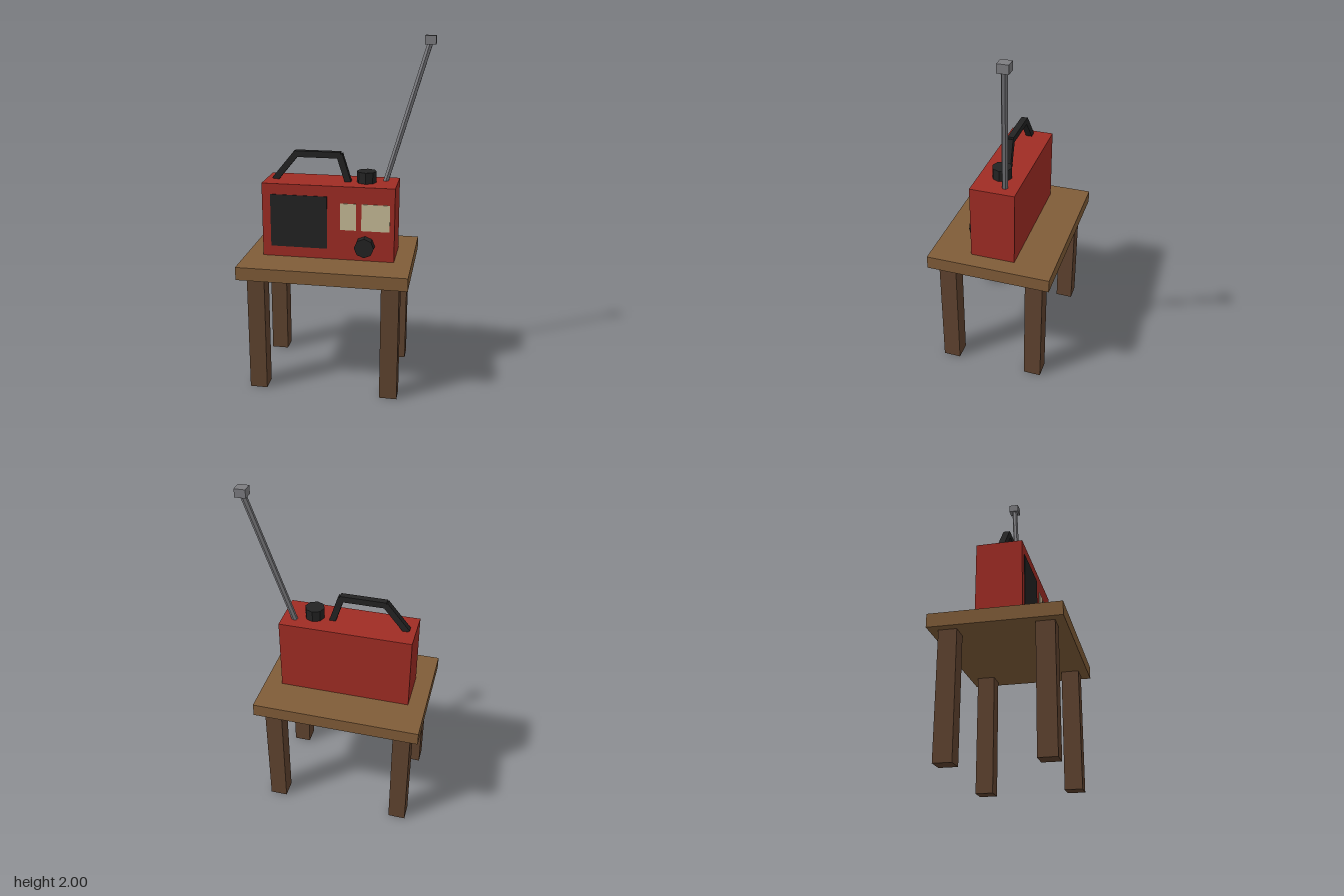
import * as THREE from 'three';

const mat = (name, color) => {
  const m = new THREE.MeshStandardMaterial({ color, flatShading: true });
  m.name = name;
  return m;
};

export function createModel() {
  const model = new THREE.Group();
  model.name = 'radioOnTable';
  const wood = mat('table wood', 0x805c38);
  const darkWood = mat('dark leg wood', 0x5f432f);
  const red = mat('radio red', 0xa02c24);
  const black = mat('black plastic', 0x232323);
  const cream = mat('dial cream', 0xc8bc98);
  const grey = mat('antenna grey', 0x7c7c80);

  const add = (name, geometry, material, parent = model) => {
    const mesh = new THREE.Mesh(geometry, material);
    mesh.name = name;
    parent.add(mesh);
    return mesh;
  };
  // Box given by its minimum and maximum corners
  const box = (name, material, a, b, parent) => {
    const mesh = add(name, new THREE.BoxGeometry(b[0] - a[0], b[1] - a[1], b[2] - a[2]), material, parent);
    mesh.position.set((a[0] + b[0]) / 2, (a[1] + b[1]) / 2, (a[2] + b[2]) / 2);
    return mesh;
  };
  // Aims a part's y axis from one point to another
  const span = (mesh, a, b) => {
    mesh.position.copy(a).add(b).multiplyScalar(0.5);
    mesh.quaternion.setFromUnitVectors(new THREE.Vector3(0, 1, 0), b.clone().sub(a).normalize());
  };

  // Table
  const table = new THREE.Group();
  table.name = 'table';
  model.add(table);
  box('tableTop', wood, [-0.523, 0.687, -0.355], [0.438, 0.762, 0.355], table);
  for (const x of [-0.423, 0.337]) {
    for (const z of [-0.255, 0.255]) {
      box('tableLeg', darkWood, [x - 0.05, 0, z - 0.05], [x + 0.05, 0.687, z + 0.05], table);
    }
  }

  // Radio case and front details
  const radio = new THREE.Group();
  radio.name = 'radio';
  model.add(radio);
  box('radioCase', red, [-0.422, 0.762, -0.127], [0.337, 1.192, 0.127], radio);
  box('speakerPanel', black, [-0.373, 0.823, 0.125], [-0.046, 1.13, 0.131], radio);
  box('smallDial', cream, [0.03, 0.94, 0.125], [0.12, 1.095, 0.131], radio);
  box('largeDial', cream, [0.15, 0.94, 0.125], [0.31, 1.095, 0.131], radio);

  // Knobs
  const frontKnob = add('frontKnob', new THREE.CylinderGeometry(0.056, 0.056, 0.053, 8), black, radio);
  frontKnob.rotation.x = Math.PI / 2;
  frontKnob.position.set(0.172, 0.853, 0.1515);
  const topKnob = add('topKnob', new THREE.CylinderGeometry(0.056, 0.056, 0.065, 8), black, radio);
  topKnob.position.set(0.16, 1.2235, 0);

  // Carrying handle, as three square bars
  const handle = new THREE.Group();
  handle.name = 'handle';
  radio.add(handle);
  const path = [[-0.37, 1.192], [-0.247, 1.343], [0.006, 1.343], [0.054, 1.192]]
    .map(([x, y]) => new THREE.Vector3(x, y, 0));
  for (let i = 0; i < 3; i++) {
    const length = path[i].distanceTo(path[i + 1]);
    span(add('handleBar', new THREE.BoxGeometry(0.036, length + 0.01, 0.036), black, handle), path[i], path[i + 1]);
  }

  // Leaning antenna with a square tip
  const base = new THREE.Vector3(0.263, 1.185, -0.05);
  const end = new THREE.Vector3(0.487, 1.965, -0.125);
  span(add('antennaRod', new THREE.CylinderGeometry(0.017, 0.017, base.distanceTo(end), 6), grey), base, end);
  box('antennaTip', grey, [0.457, 1.953, -0.157], [0.518, 2, -0.097]);

  return model;
}
